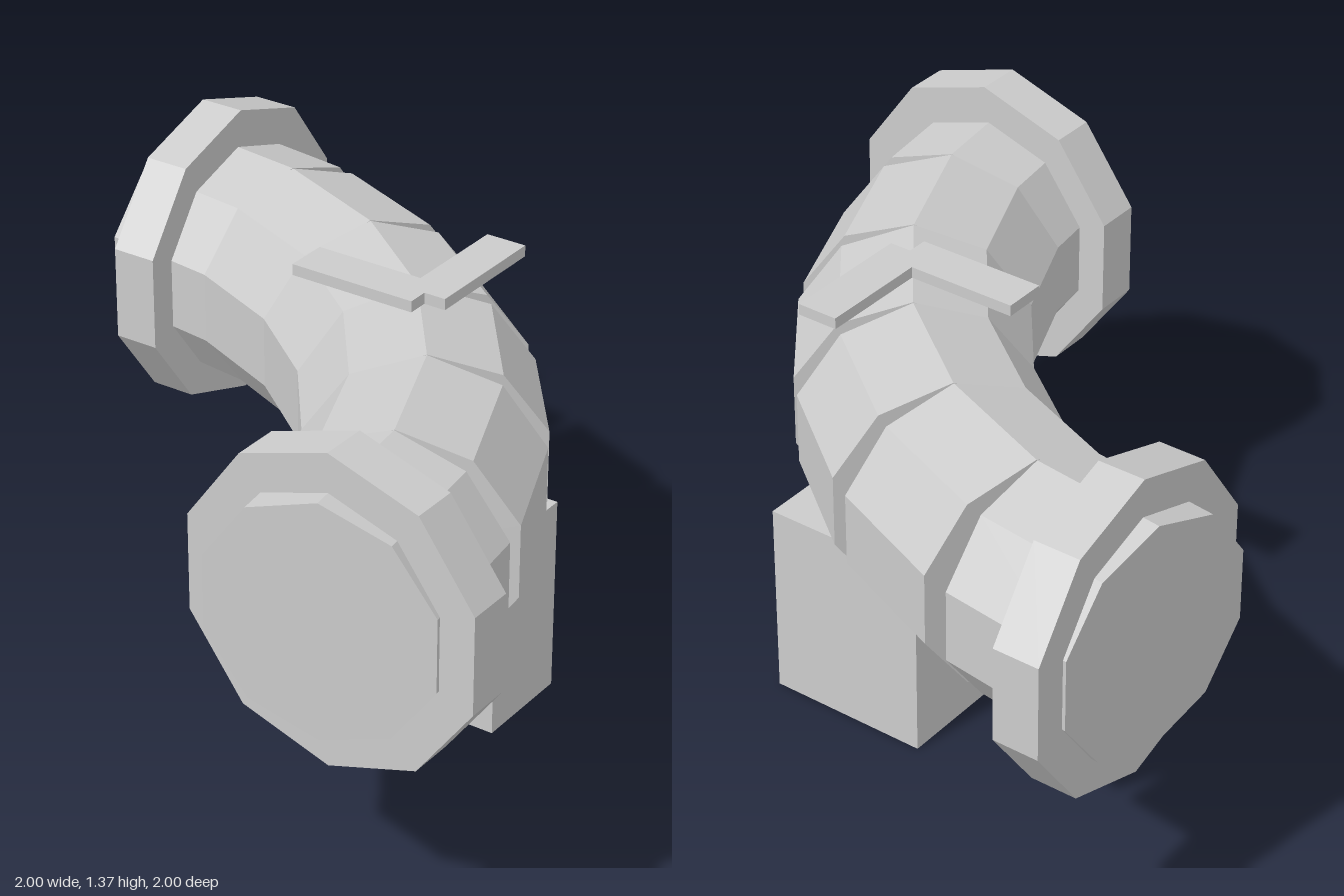
import * as THREE from 'three';

const SIDES = 10;
const PIPE_Y = 0.923;
const CENTRE = 0.957; // bend centre is (-CENTRE, CENTRE) in x, z
const BEND = 1.53;

export function createModel() {
  const group = new THREE.Group();
  group.name = 'pipeElbow';
  const material = new THREE.MeshStandardMaterial({ color: 0xcccccc, flatShading: true });

  const add = (name, geometry, x, y, z, turn = 0) => {
    const mesh = new THREE.Mesh(geometry, material);
    mesh.name = name;
    mesh.position.set(x, y, z);
    mesh.rotation.y = turn;
    group.add(mesh);
  };

  // Ten-sided drum lying along z, with a corner at the top
  const drum = (radius, length) =>
    new THREE.CylinderGeometry(radius, radius, length, SIDES).rotateX(-Math.PI / 2);

  // Box from its lower and upper corners
  const block = (name, [x0, y0, z0], [x1, y1, z1]) =>
    add(name, new THREE.BoxGeometry(x1 - x0, y1 - y0, z1 - z0),
      (x0 + x1) / 2, (y0 + y1) / 2, (z0 + z1) / 2);

  // Overlapping straight sections following a quarter bend
  const section = drum(0.335, 0.4);
  for (let i = 0; i < 6; i++) {
    const t = THREE.MathUtils.degToRad(7.5 + 15 * i);
    add(`pipeSection${i + 1}`, section,
      -CENTRE + BEND * Math.sin(t), PIPE_Y, CENTRE - BEND * Math.cos(t), Math.PI / 2 - t);
  }

  // Flange collars at both ends
  const flange = drum(0.443, 0.134);
  add('backFlange', flange, -0.837, PIPE_Y, -0.577, Math.PI / 2);
  add('frontFlange', flange, 0.577, PIPE_Y, 0.835);

  // Support block under the bend
  block('support', [-0.04, 0, -0.362], [0.45, 0.59, -0.055]);

  // Flat direction arrow above the bend
  block('arrowBarBack', [0.187, 1.284, -0.39], [0.307, 1.316, -0.005]);
  block('arrowBarSide', [-0.135, 1.284, -0.07], [0.243, 1.316, 0.055]);

  return group;
}
